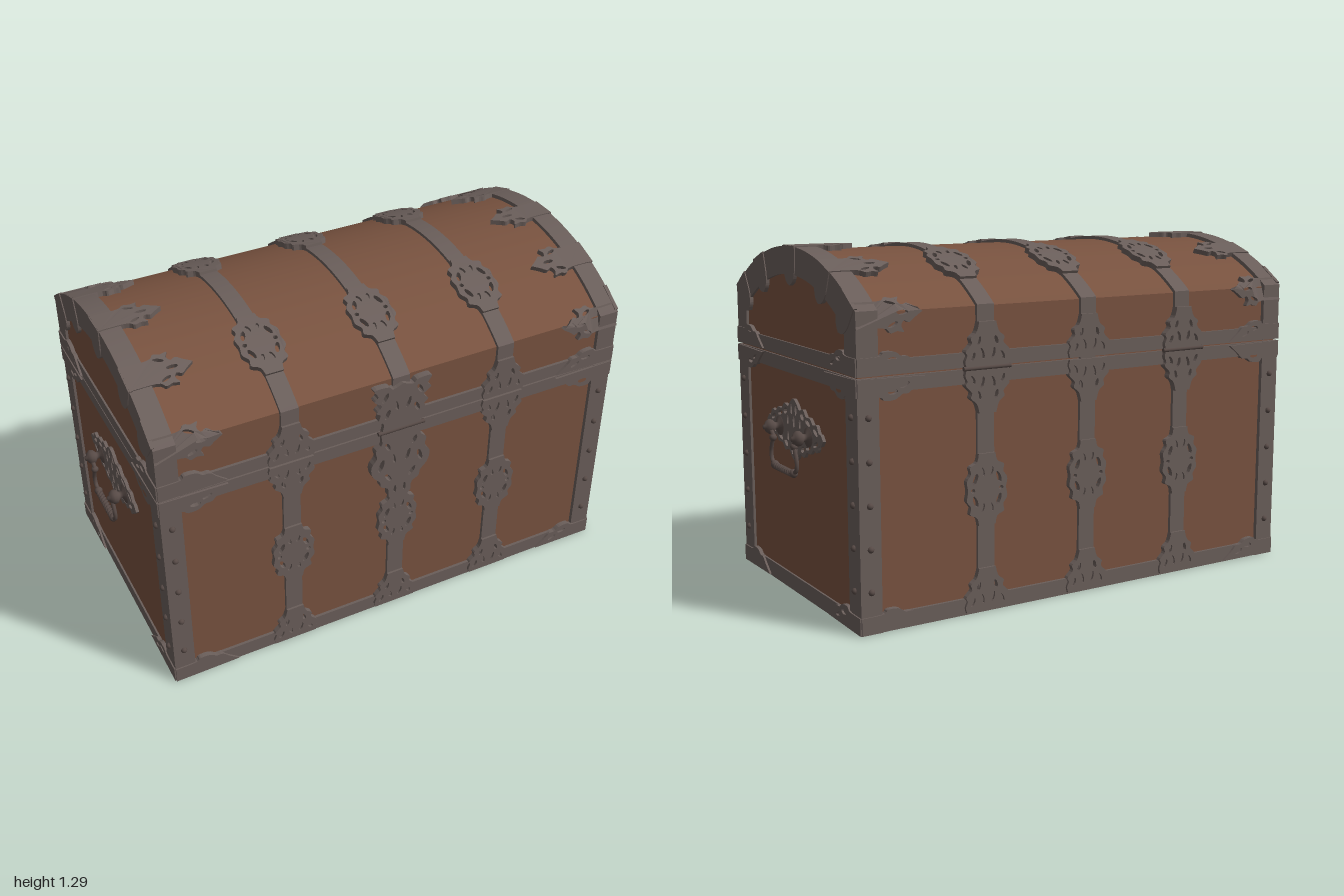
import * as THREE from 'three';
import { toCreasedNormals } from 'three/addons/utils/BufferGeometryUtils.js';

const wood = new THREE.MeshStandardMaterial({ color: 0x78523f });
const iron = new THREE.MeshStandardMaterial({ color: 0x6a5e5a });
const darkIron = new THREE.MeshStandardMaterial({ color: 0x574a46 });
wood.name = 'wood'; iron.name = 'iron'; darkIron.name = 'darkIron';

// Overall sizes: half width, half depth, and the arc of the lid
const HX = 0.93, HZ = 0.53, R = 0.852, CY = 0.438, SEAM = 0.885;
const A = Math.asin(HZ / R), SHOULDER = CY + R * Math.cos(A);

function mesh(parent, name, geo, mat = iron) {
  const m = new THREE.Mesh(geo, mat);
  m.name = name;
  parent.add(m);
  return m;
}

function box(parent, name, x0, x1, y0, y1, z0, z1, mat = iron) {
  const m = mesh(parent, name, new THREE.BoxGeometry(x1 - x0, y1 - y0, z1 - z0), mat);
  m.position.set((x0 + x1) / 2, (y0 + y1) / 2, (z0 + z1) / 2);
}

// Lid outline in (z, y): straight sides with an arc on top
function arch(half, radius, cy, bottom) {
  const a = Math.asin(half / radius), pts = [new THREE.Vector2(half, bottom)];
  for (let i = 0; i <= 36; i++) {
    const t = a - (2 * a * i) / 36;
    pts.push(new THREE.Vector2(radius * Math.sin(t), cy + radius * Math.cos(t)));
  }
  pts.push(new THREE.Vector2(-half, bottom));
  return pts;
}
const outer = (inset, bottom) => arch(HZ - inset, R - inset, CY, bottom);

// Extrude a (z, y) outline along x
function alongX(pts, x0, x1) {
  const g = new THREE.ExtrudeGeometry(new THREE.Shape(pts), { depth: x1 - x0, bevelEnabled: false, steps: 1 });
  g.rotateY(Math.PI / 2).translate(x0, 0, 0);
  return toCreasedNormals(g, 0.35);
}

// Ornament outline: spline through [half width, distance], mirrored unless half
function ornament(side, holes = [], half = false) {
  const s = new THREE.SplineCurve(side.map(p => new THREE.Vector2(...p)))
    .getPoints(side.length * 3).map(p => [Math.max(0, p.x), p.y]);
  const back = half ? [[0, side[0][1]]]
    : s.filter(p => p[0] > 1e-4).map(p => [-p[0], p[1]]).reverse();
  return { outline: [...s, ...back], holes: holes.map(h => oval(...h)) };
}
function oval(cx, cy, rx, ry, tilt = 0) {
  return Array.from({ length: 10 }, (_, i) => {
    const t = (i / 10) * 2 * Math.PI, x = rx * Math.cos(t), y = ry * Math.sin(t);
    return [cx + x * Math.cos(tilt) - y * Math.sin(tilt), cy + x * Math.sin(tilt) + y * Math.cos(tilt)];
  });
}
const both = list => list.flatMap(([x, y, rx, ry, t = 0]) => [[x, y, rx, ry, t], [-x, y, rx, ry, -t]]);

// Front surface rolled up over the lid; s is the distance from the floor
function wrap(x, s, c) {
  if (s <= SHOULDER) return [x, s, HZ + c];
  const t = A - (s - SHOULDER) / R;
  return [x, CY + (R + c) * Math.cos(t), (R + c) * Math.sin(t)];
}
const sideMap = (a, b, c) => [HX + c, b, -a];
const lidS = angle => SHOULDER + (A - angle) * R;

// Place an ornament on a surface as a thin plate
function plate(parent, name, orn, map, x, y, rot = 0, flip = 1, c0 = -0.016, c1 = 0.005) {
  const c = Math.cos(rot), s = Math.sin(rot);
  const move = pts => pts.map(([a, b]) => new THREE.Vector2(x + c * a * flip - s * b, y + s * a * flip + c * b));
  const shape = new THREE.Shape(move(orn.outline));
  shape.holes = orn.holes.map(h => new THREE.Path(move(h)));
  const g = new THREE.ExtrudeGeometry(shape, { depth: c1 - c0, bevelEnabled: false });
  const p = g.attributes.position;
  for (let i = 0; i < p.count; i++) p.setXYZ(i, ...map(p.getX(i), p.getY(i), p.getZ(i) + c0));
  g.computeVertexNormals();
  return mesh(parent, name, g);
}

const medallion = ornament(
  [[0.034, -0.13], [0.042, -0.1], [0.07, -0.085], [0.066, -0.06], [0.083, -0.035], [0.078, 0],
    [0.083, 0.035], [0.066, 0.06], [0.07, 0.085], [0.042, 0.1], [0.034, 0.13]],
  both([[0.048, 0.04, 0.009, 0.022, 0.4], [0.048, -0.04, 0.009, 0.022, -0.4], [0.018, 0.065, 0.007, 0.016, -0.3],
    [0.018, -0.065, 0.007, 0.016, 0.3], [0.058, 0, 0.009, 0.008]]));
const flare = ornament(
  [[0.085, 0.004], [0.09, 0.025], [0.082, 0.045], [0.088, 0.06], [0.064, 0.085], [0.068, 0.105], [0.045, 0.125], [0.034, 0.16]],
  both([[0.06, 0.04, 0.008, 0.017, 0.5], [0.022, 0.05, 0.008, 0.02, -0.3], [0.035, 0.095, 0.007, 0.016, 0.3]]));
const claw = ornament(
  [[0.05, 0], [0.05, 0.1], [0.068, 0.125], [0.062, 0.15], [0.066, 0.175], [0.045, 0.165], [0.028, 0.175],
    [0.035, 0.195], [0.02, 0.215], [0, 0.245]],
  [...both([[0.04, 0.135, 0.007, 0.02, 0.4]]), [0, 0.17, 0.008, 0.022]]);
const bracket = ornament(
  [[0.062, 0], [0.064, 0.08], [0.078, 0.1], [0.076, 0.14], [0.06, 0.165], [0.058, 0.19], [0.035, 0.215], [0.004, 0.255]],
  [[0.05, 0.13, 0.009, 0.02], [0.03, 0.175, 0.007, 0.02, 0.4]], true);
const tongue = ornament([[0.052, -0.002], [0.05, 0.05], [0.046, 0.09], [0.028, 0.125], [0, 0.14]]);
const claspTop = ornament(
  [[0.08, 0.004], [0.075, 0.04], [0.095, 0.06], [0.09, 0.085], [0.105, 0.1], [0.085, 0.125], [0.115, 0.15],
    [0.1, 0.17], [0.115, 0.2], [0.06, 0.2], [0.04, 0.185], [0, 0.2]],
  both([[0.06, 0.08, 0.009, 0.022, 0.4], [0.025, 0.11, 0.008, 0.024, -0.3], [0.07, 0.155, 0.009, 0.022, 0.5]]));
const claspBottom = ornament(
  [[0.085, 0.004], [0.08, 0.05], [0.105, 0.075], [0.1, 0.11], [0.122, 0.145], [0.115, 0.19], [0.085, 0.225],
    [0.08, 0.25], [0.05, 0.27], [0.045, 0.31], [0.02, 0.33], [0, 0.36]],
  both([[0.055, 0.07, 0.009, 0.02, 0.4], [0.08, 0.15, 0.01, 0.028, -0.3], [0.03, 0.13, 0.008, 0.026, 0.3],
    [0.05, 0.215, 0.009, 0.022, 0.6], [0.02, 0.28, 0.006, 0.018]]));
const handlePlate = ornament(
  [[0, -0.255], [0.022, -0.235], [0.022, -0.22], [0.05, -0.2], [0.045, -0.17], [0.065, -0.145], [0.065, -0.11], [0.088, -0.085],
    [0.08, -0.05], [0.1, -0.03], [0.115, 0], [0.1, 0.03], [0.08, 0.05], [0.088, 0.085], [0.065, 0.11],
    [0.065, 0.145], [0.045, 0.17], [0.05, 0.2], [0.022, 0.22], [0.022, 0.235], [0, 0.255]],
  [-1, 1].flatMap(k => both([[0.022, k * 0.19, 0.009, 0.022, k * 0.5], [0.045, k * 0.125, 0.009, 0.022, k * 0.3],
    [0.06, k * 0.075, 0.011, 0.018, k * 0.5], [0.03, k * 0.055, 0.018, 0.009], [0.075, k * 0.02, 0.02, 0.008]]))
    .concat(both([[0.03, 0, 0.022, 0.009]])));

function rivet(parent, x, y, z, toSide) {
  const m = mesh(parent, 'rivet', new THREE.SphereGeometry(0.012, 10, 5, 0, 2 * Math.PI, 0, Math.PI / 2), darkIron);
  m.position.set(x, y, z);
  if (toSide) m.rotation.z = -Math.PI / 2; else m.rotation.x = Math.PI / 2;
}

// Fittings of the front or back face and its half of the lid
function longFace(isFront) {
  const g = new THREE.Group();
  g.name = isFront ? 'frontFittings' : 'backFittings';
  for (const x of [-0.435, 0, 0.435]) {
    const clasp = isFront && x === 0;
    plate(g, 'strapMedallion', medallion, wrap, x, 0.45);
    plate(g, 'lidMedallion', medallion, wrap, x, lidS(0.35), 0, 1, -0.016, 0.007);
    plate(g, 'strapFoot', flare, wrap, x, 0.004);
    const raise = clasp || (!isFront && x !== 0) ? 0.012 : 0.006;
    plate(g, clasp ? 'claspHasp' : 'lidFlare', clasp ? claspTop : flare, wrap, x, SEAM, 0, 1, -0.016, raise);
    plate(g, clasp ? 'claspLock' : 'bodyFlare', clasp ? claspBottom : flare, wrap, x, SEAM, Math.PI, 1, -0.016, raise);
    if (raise > 0.01) {
      const pin = mesh(g, clasp ? 'claspPin' : 'hingePin', new THREE.CylinderGeometry(0.008, 0.008, 0.19, 10), darkIron);
      pin.rotation.z = Math.PI / 2;
      pin.position.set(x, SEAM, HZ + 0.008);
    }
  }
  for (const k of [-1, 1]) {
    for (const s of [lidS(0.35), SHOULDER - 0.01])
      plate(g, 'lidClaw', claw, wrap, k * HX, s, k * Math.PI / 2, 1, -0.016, 0.004);
    cornerBrackets(g, wrap, k, HX);
    for (let i = 0; i < 5; i++) rivet(g, k * 0.89, 0.15 + i * 0.15, HZ, false);
  }
  return g;
}

function cornerBrackets(g, map, k, edge) {
  for (const [y, up] of [[SEAM + 0.004, 1], [SEAM - 0.004, -1], [0.002, 1]])
    plate(g, 'cornerBracket', bracket, map, k * edge, y, k * Math.PI / 2, k * up);
}

// Fittings of one end: brackets, arch tongues, rivets and handle
function endFace(name) {
  const g = new THREE.Group();
  g.name = name;
  for (const k of [-1, 1]) {
    cornerBrackets(g, sideMap, k, HZ);
    for (let i = 0; i < 5; i++) rivet(g, HX, 0.15 + i * 0.15, k * 0.485, true);
  }
  for (const t of [-0.6, -0.35, 0, 0.35, 0.6])
    plate(g, 'archTongue', tongue, sideMap, R * Math.sin(t), CY + R * Math.cos(t), Math.PI - t, 1, -0.01, 0.004);
  plate(g, 'handlePlate', handlePlate, sideMap, 0, 0.625, Math.PI / 2, 1, -0.014, 0.002);

  const handle = new THREE.Group();
  handle.name = 'handle';
  g.add(handle);
  for (const k of [-1, 1]) {
    // turned boss
    const prof = [[0.036, 0], [0.036, 0.008], [0.014, 0.014], [0.014, 0.026], [0.026, 0.036], [0.028, 0.048], [0.02, 0.06], [0.01, 0.064], [0.009, 0.07], [0, 0.073]];
    const boss = mesh(handle, 'handleBoss', new THREE.LatheGeometry(prof.map(p => new THREE.Vector2(...p)), 16), darkIron);
    boss.rotation.z = -Math.PI / 2;
    boss.position.set(0.927, 0.62, k * 0.13);
    // curved arm
    const arm = new THREE.CatmullRomCurve3([[0.62, 0.125], [0.59, 0.095], [0.57, 0.105], [0.53, 0.118], [0.5, 0.112], [0.485, 0.085]]
      .map(([y, z]) => new THREE.Vector3(0.974, y, k * z)));
    mesh(handle, 'handleArm', new THREE.TubeGeometry(arm, 24, 0.008, 8), darkIron);
    for (const [y, z, r] of [[0.485, 0.086, 0.016], [0.585, 0.097, 0.014]])
      mesh(handle, 'handleCollar', new THREE.SphereGeometry(r, 12, 8), darkIron).position.set(0.974, y, k * z);
    // twisted grip strand
    const strand = Array.from({ length: 41 }, (_, i) => {
      const u = i / 40, t = u * 10 * Math.PI + (k > 0 ? Math.PI : 0);
      return new THREE.Vector3(0.974 + 0.006 * Math.cos(t), 0.482 + 0.006 * Math.sin(t), -0.085 + 0.17 * u);
    });
    mesh(handle, 'handleGrip', new THREE.TubeGeometry(new THREE.CatmullRomCurve3(strand), 80, 0.008, 6), darkIron);
  }
  return g;
}

export function createModel() {
  const chest = new THREE.Group();
  chest.name = 'chest';

  // Wooden body and domed lid
  box(chest, 'body', -0.92, 0.92, 0.006, SEAM, -0.515, 0.515, wood);
  mesh(chest, 'lid', alongX(outer(0.015, SEAM), -0.92, 0.92), wood);

  // Iron rails around the bottom and on both sides of the seam
  for (const [y0, y1] of [[0, 0.06], [0.83, 0.882], [0.888, 0.94]]) {
    for (const k of [-1, 1]) {
      box(chest, 'longRail', -0.925, 0.925, y0, y1, k * 0.513 - 0.013, k * 0.513 + 0.013);
      box(chest, 'endRail', k * 0.914 - 0.013, k * 0.914 + 0.013, y0, y1, -0.52, 0.52);
    }
  }

  // Corner posts, underside corner plates and arched lid ends
  for (const sx of [-1, 1]) {
    for (const sz of [-1, 1]) {
      box(chest, 'cornerPost', sx * 0.89 - 0.04, sx * 0.89 + 0.04, 0, 0.882, sz * 0.485 - 0.045, sz * 0.485 + 0.045);
      const start = sx > 0 ? (sz > 0 ? 2 : 3) : (sz > 0 ? 1 : 0);
      const foot = mesh(chest, 'undersideCorner', new THREE.CylinderGeometry(0.2, 0.2, 0.006, 12, 1, false, start * Math.PI / 2, Math.PI / 2));
      foot.position.set(sx * 0.925, 0.003, sz * 0.525);
    }
    const rim = [...outer(0, 0.888), ...arch(0.44, 0.72, 0.47, 0.888).reverse()];
    mesh(chest, 'lidEndArch', alongX(rim, sx * 0.89 - 0.04, sx * 0.89 + 0.04));
    plate(chest, 'lidTopClaw', claw, wrap, sx * HX, lidS(0), sx * Math.PI / 2, 1, -0.016, 0.004);
  }

  // Straps up the front, over the lid and down the back
  for (const x of [-0.435, 0, 0.435]) {
    const strap = [...outer(0.003, 0.004), ...outer(0.02, 0.004).reverse()];
    mesh(chest, 'strap', alongX(strap, x - 0.034, x + 0.034));
  }

  const back = longFace(false), left = endFace('leftEndFittings');
  // the rear and one end are the same fittings turned half a circle
  back.rotation.y = left.rotation.y = Math.PI;
  left.name = 'rightEndFittings';
  chest.add(longFace(true), back, endFace('leftEndFittings'), left);
  return chest;
}
